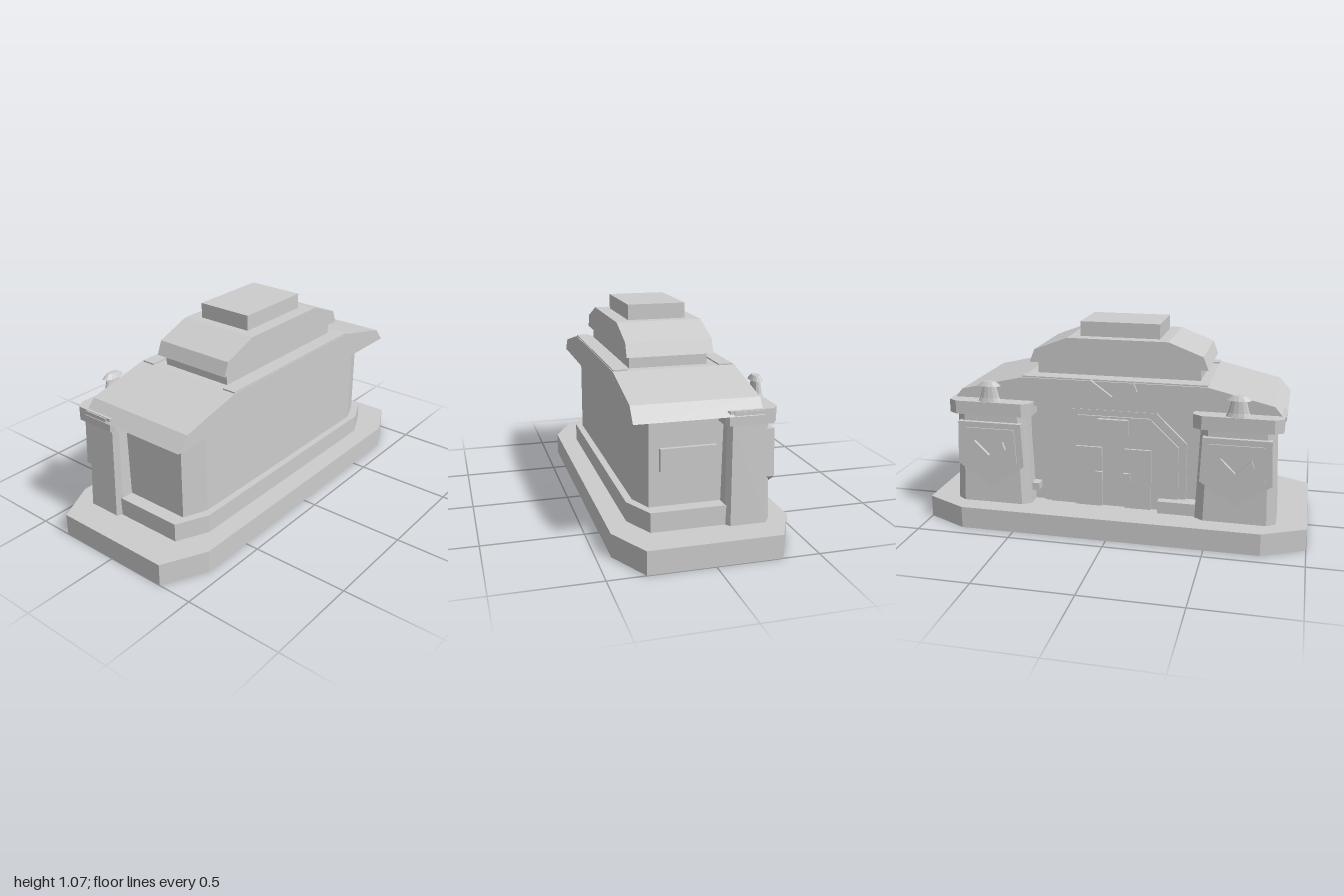
import * as THREE from 'three';

const stone = new THREE.MeshStandardMaterial({ color: 0xcccccc, side: THREE.DoubleSide });
stone.name = 'pale grey stone';

export function createModel() {
  const model = new THREE.Group();
  model.name = 'building';

  const add = (name, geometry, parent = model) => {
    const mesh = new THREE.Mesh(geometry, stone);
    mesh.name = name;
    parent.add(mesh);
    return mesh;
  };
  const shapeOf = (pts) => new THREE.Shape(pts.map(([x, y]) => new THREE.Vector2(x, y)));

  // box given by its limits
  const box = (name, x0, x1, y0, y1, z0, z1, parent) => {
    const g = new THREE.BoxGeometry(x1 - x0, y1 - y0, z1 - z0);
    g.translate((x0 + x1) / 2, (y0 + y1) / 2, (z0 + z1) / 2);
    return add(name, g, parent);
  };

  // outline in x and y, extruded from z0 to z1
  const profile = (name, pts, z0, z1, parent) => {
    const g = new THREE.ExtrudeGeometry(shapeOf(pts), { depth: z1 - z0, bevelEnabled: false });
    g.translate(0, 0, z0);
    return add(name, g, parent);
  };
  // right half of an outline, mirrored to a closed one
  const mirrored = (half) => [...half, ...half.map(([x, y]) => [-x, y]).reverse()];

  // rectangle with cut corners: back and front cuts as [in x, in z]
  const cutRect = (x0, x1, z0, z1, back, front) => [
    [x0 + back[0], z0], [x1 - back[0], z0], [x1, z0 + back[1]], [x1, z1 - front[1]],
    [x1 - front[0], z1], [x0 + front[0], z1], [x0, z1 - front[1]], [x0, z0 + back[1]],
  ];

  // ground plan raised from y0 to y1, with optional taper and open bottom
  const plan = (name, pts, y0, y1, { taper = [1, 1], open = false, parent } = {}) => {
    let g = new THREE.ExtrudeGeometry(shapeOf(pts.map(([x, z]) => [x, -z])), { depth: y1 - y0, bevelEnabled: false });
    if (open) {
      const skip = g.groups[0].count / 2;
      const kept = g.attributes.position.array.slice(skip * 3);
      g = new THREE.BufferGeometry();
      g.setAttribute('position', new THREE.BufferAttribute(kept, 3));
    }
    g.rotateX(-Math.PI / 2);
    g.translate(0, y0, 0);
    const xs = pts.map((p) => p[0]), zs = pts.map((p) => p[1]);
    const cx = (Math.min(...xs) + Math.max(...xs)) / 2, cz = (Math.min(...zs) + Math.max(...zs)) / 2;
    const p = g.attributes.position;
    for (let i = 0; i < p.count; i++) {
      if (p.getY(i) < (y0 + y1) / 2) continue;
      p.setX(i, cx + (p.getX(i) - cx) * taper[0]);
      p.setZ(i, cz + (p.getZ(i) - cz) * taper[1]);
    }
    g.computeVertexNormals();
    return add(name, g, parent);
  };

  // base, plinth and walls
  plan('base', cutRect(-1, 1, -0.43, 0.43, [0.22, 0.11], [0.22, 0.11]), 0, 0.115, { open: true });
  plan('plinth', cutRect(-0.82, 0.82, -0.115, 0.33, [0, 0], [0.16, 0.075]).filter((p, i) => i !== 2 && i !== 7), 0.115, 0.21);
  plan('walls', [[-0.75, -0.2], [0.75, -0.2], [0.75, 0.245], [0.63, 0.295], [-0.63, 0.295], [-0.75, 0.245]], 0.115, 0.65);
  box('sidePanel', 0.74, 0.77, 0.38, 0.49, -0.075, 0.195);

  // stepped roof
  profile('mainRoof', mirrored([[0.87, 0.645], [0.81, 0.715], [0.48, 0.793]]), -0.26, 0.345);
  box('frontRoofStrip', -0.48, 0.48, 0.785, 0.8, 0.275, 0.342);
  box('backRoofStrip', -0.48, 0.48, 0.785, 0.8, -0.25, -0.18);
  box('roofNeck', -0.43, 0.43, 0.79, 0.855, -0.135, 0.255);
  profile('upperRoof', mirrored([[0.47, 0.852], [0.443, 0.92], [0.265, 0.988]]), -0.155, 0.275);
  box('roofTop', -0.21, 0.21, 0.985, 1.065, -0.09, 0.205);

  // V-shaped ornament
  const chevron = (name, w, bottom, top, t, z0, z1, parent) => profile(name,
    [[0, bottom], [w, top - t], [w * 0.85, top], [0, bottom + t], [-w * 0.85, top], [-w, top - t]], z0, z1, parent);
  chevron('roofChevron', 0.13, 0.67, 0.8, 0.05, -0.276, -0.255);

  // entrance with cut upper corners
  const portal = (w, shoulder, tw, top) => mirrored([[w, 0.115], [w, shoulder], [tw, top]]);
  profile('entranceWall', portal(0.45, 0.645, 0.45, 0.646), -0.215, -0.19);
  profile('outerPortal', portal(0.38, 0.48, 0.22, 0.635), -0.23, -0.21);
  profile('innerPortal', portal(0.34, 0.46, 0.19, 0.605), -0.24, -0.22);
  box('sign', -0.08, 0.08, 0.515, 0.595, -0.262, -0.23);
  box('lowBench', -0.44, -0.24, 0.115, 0.18, -0.285, -0.2);
  box('sideFitting', 0.4, 0.44, 0.18, 0.22, -0.27, -0.2);
  for (const s of [1, -1]) {
    const x = s * 0.13;
    box('door', x - 0.07, x + 0.07, 0.115, 0.44, -0.253, -0.23);
    box('doorHandle', s * 0.075 - 0.018, s * 0.075 + 0.018, 0.265, 0.31, -0.265, -0.24);
  }

  // corner pillars with caps, finials and shields
  for (const s of [1, -1]) {
    const pillar = new THREE.Group();
    pillar.name = s > 0 ? 'leftPillar' : 'rightPillar';
    pillar.position.x = s * 0.64;
    model.add(pillar);
    plan('pillarShaft', cutRect(-0.205, 0.205, -0.325, -0.1, [0.045, 0.03], [0.03, 0.02]), 0.115, 0.61, { taper: [0.9, 0.9], parent: pillar });
    plan('pillarCap', cutRect(-0.222, 0.222, -0.34, -0.085, [0.045, 0.03], [0.02, 0.015]), 0.6, 0.67, { parent: pillar });

    const finial = new THREE.LatheGeometry(
      [[0.033, 0.665], [0.026, 0.69], [0.018, 0.752], [0.031, 0.752], [0.017, 0.775], [0, 0.775]].map(([r, y]) => new THREE.Vector2(r, y)), 12).toNonIndexed();
    finial.scale(2, 1, 1);
    finial.translate(0, 0, -0.306);
    finial.computeVertexNormals();
    add('finial', finial, pillar);

    profile('shield', mirrored([[0, 0.21], [0.18, 0.33], [0.17, 0.56]]).slice(0, -1), -0.338, -0.29, pillar);
    profile('shieldFace', mirrored([[0, 0.25], [0.145, 0.345], [0.135, 0.53]]).slice(0, -1), -0.345, -0.335, pillar);
    chevron('shieldChevron', 0.09, 0.35, 0.465, 0.04, -0.364, -0.34, pillar);

    // small rail at the roof edge
    const a = s * 0.842, b = s * 0.868;
    box('roofEdgeRail', Math.min(a, b), Math.max(a, b), 0.645, 0.667, -0.26, -0.12);
  }

  return model;
}
